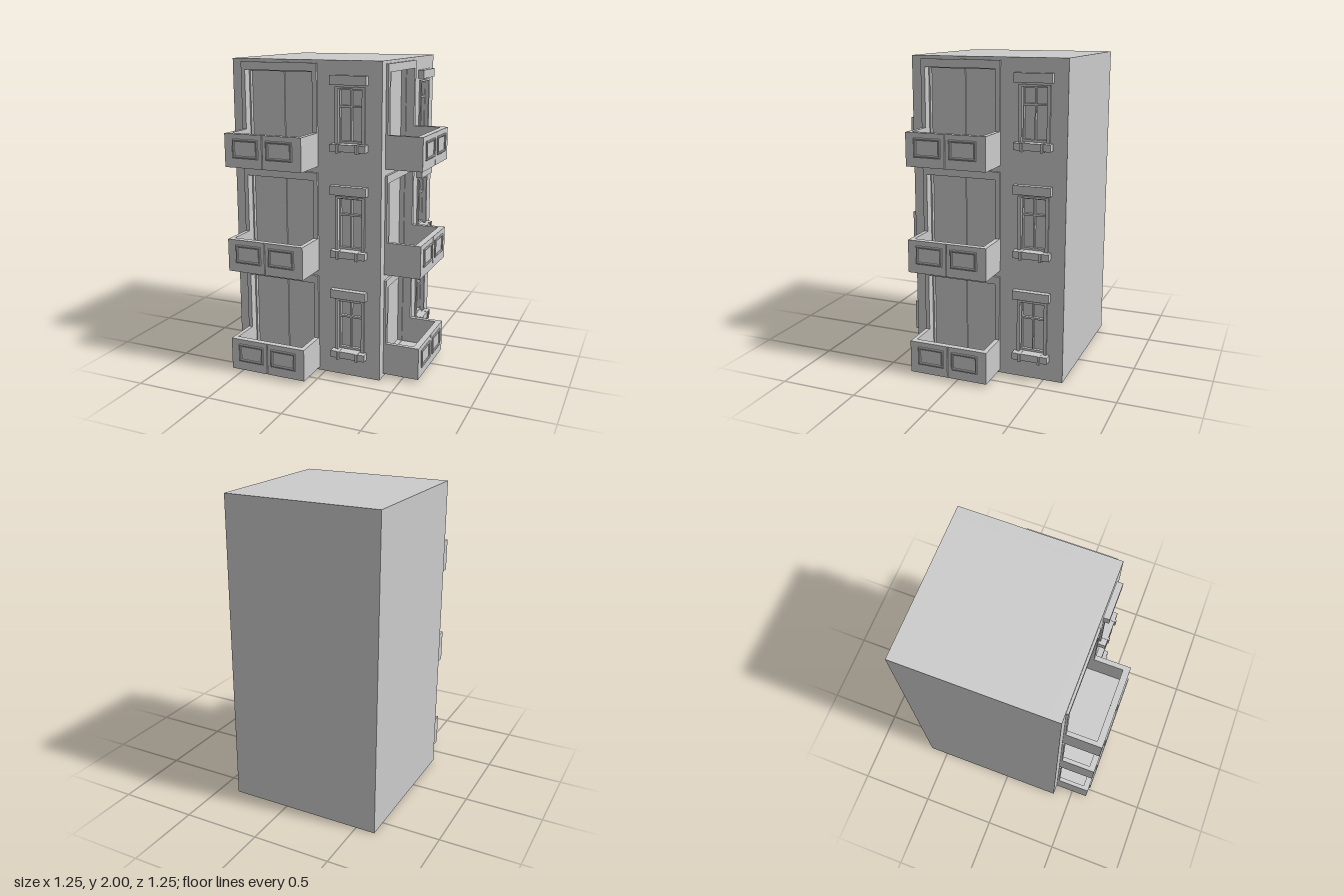
import * as THREE from 'three';

const FLOORS = 3, PITCH = 0.6665, DEPTH = 0.08;
const DOOR = [-0.408, 0.05, 0.053, 0.598];      // u0, y0, u1, y1 on the facade
const WINDOW = [0.218, 0.172, 0.375, 0.5];

const mat = new THREE.MeshStandardMaterial({ color: 0xcccccc, flatShading: true });

function add(parent, name, geometry) {
  const mesh = new THREE.Mesh(geometry, mat);
  mesh.name = name;
  parent.add(mesh);
  return mesh;
}

// box given by its limits
function box(parent, name, u0, u1, y0, y1, w0, w1) {
  const m = add(parent, name, new THREE.BoxGeometry(u1 - u0, y1 - y0, w1 - w0));
  m.position.set((u0 + u1) / 2, (y0 + y1) / 2, (w0 + w1) / 2);
  return m;
}

function rectPoints([u0, y0, u1, y1]) {
  return [[u0, y0], [u1, y0], [u1, y1], [u0, y1]].map(p => new THREE.Vector2(...p));
}

// rectangular slab with rectangular holes, from depth w0 to w1
function plate(parent, name, outer, holes, w0, w1, bevel = 0) {
  const shape = new THREE.Shape(rectPoints(outer));
  holes.forEach(h => shape.holes.push(new THREE.Path(rectPoints(h).reverse())));
  const geo = new THREE.ExtrudeGeometry(shape, {
    depth: w1 - w0 - 2 * bevel, bevelEnabled: bevel > 0, bevelSegments: 1,
    bevelSize: bevel, bevelThickness: bevel, bevelOffset: -bevel,
  });
  geo.translate(0, 0, w0 + bevel);
  return add(parent, name, geo);
}

function createBalcony() {
  const g = new THREE.Group();
  g.name = 'balcony';
  const [u0, u1, mid] = [-0.435, 0.083, -0.178];

  // flat surround and the casing set back in the opening
  plate(g, 'doorSurround', [u0, 0.02, u1, 0.648], [DOOR], 0, 0.015);
  plate(g, 'doorCasing', DOOR, [[-0.399, 0.055, 0.044, 0.59]], -DEPTH, -0.04);

  // two sliding leaves, one just ahead of the other
  box(g, 'doorLeafFront', -0.399, mid + 0.005, 0.05, 0.59, -DEPTH, -0.064);
  box(g, 'doorLeafBack', mid, 0.044, 0.05, 0.59, -DEPTH, -0.072);

  // U-shaped parapet with a fine joint in the middle of its front
  const n = 0.003;
  const plan = [
    [u0, 0.015], [u0, 0.235], [mid - n, 0.235], [mid, 0.231], [mid + n, 0.235],
    [u1, 0.235], [u1, 0.015], [0.053, 0.015], [0.053, 0.195],
    [mid + n, 0.195], [mid, 0.199], [mid - n, 0.195], [-0.408, 0.195], [-0.408, 0.015],
  ].map(([u, w]) => new THREE.Vector2(u, -w));
  const parapet = new THREE.ExtrudeGeometry(new THREE.Shape(plan), { depth: 0.208, bevelEnabled: false });
  parapet.rotateX(-Math.PI / 2).translate(0, 0.02, 0);
  add(g, 'parapet', parapet);
  box(g, 'balconyFloor', -0.408, 0.053, 0.02, 0.05, 0.01, 0.195);

  // bevelled panel frames on the parapet
  for (const c of [-0.292, -0.063]) {
    plate(g, 'parapetPanel', [c - 0.087, 0.08, c + 0.087, 0.197],
      [[c - 0.073, 0.094, c + 0.073, 0.183]], 0.23, 0.245, 0.004);
  }
  return g;
}

function createWindow() {
  const g = new THREE.Group();
  g.name = 'window';
  plate(g, 'windowSurround', [0.199, 0.172, 0.395, 0.512], [WINDOW], 0, 0.01);

  // sash with two small panes above two tall ones
  const panes = [];
  for (const [a, b] of [[0.226, 0.292], [0.301, 0.367]])
    for (const [c, d] of [[0.186, 0.388], [0.4, 0.492]]) panes.push([a, c, b, d]);
  plate(g, 'sash', WINDOW, panes, -0.04, -0.015);
  box(g, 'glass', 0.218, 0.375, 0.172, 0.5, -0.05, -0.035);

  box(g, 'lintel', 0.176, 0.413, 0.524, 0.58, 0, 0.038);
  box(g, 'sill', 0.18, 0.411, 0.128, 0.172, 0, 0.047);
  for (const u of [0.231, 0.358]) box(g, 'sillBracket', u - 0.008, u + 0.008, 0.12, 0.174, 0, 0.056);
  return g;
}

// one decorated wall; its plane is w = 0, u runs left to right
function createFacade(uEnd) {
  const g = new THREE.Group();
  const holes = [];
  for (let i = 0; i < FLOORS; i++) {
    const y = i * PITCH;
    for (const [a, b, c, d] of [DOOR, WINDOW]) holes.push([a, b + y, c, d + y]);
    for (const part of [createBalcony(), createWindow()]) {
      part.position.y = y;
      g.add(part);
    }
  }
  plate(g, 'wall', [-0.5, 0, uEnd, 2], holes, -DEPTH, 0);
  return g;
}

export function createModel() {
  const model = new THREE.Group();
  model.name = 'apartmentBlock';

  // solid core behind the two decorated walls
  box(model, 'core', -0.625, 0.375 - DEPTH, 0, 2, -0.625, 0.375 - DEPTH);

  const front = createFacade(0.5 - DEPTH);
  front.name = 'frontFacade';
  front.position.set(-0.125, 0, 0.375);

  const side = createFacade(0.5);
  side.name = 'sideFacade';
  side.rotation.y = Math.PI / 2;
  side.position.set(0.375, 0, -0.125);

  model.add(front, side);
  return model;
}
